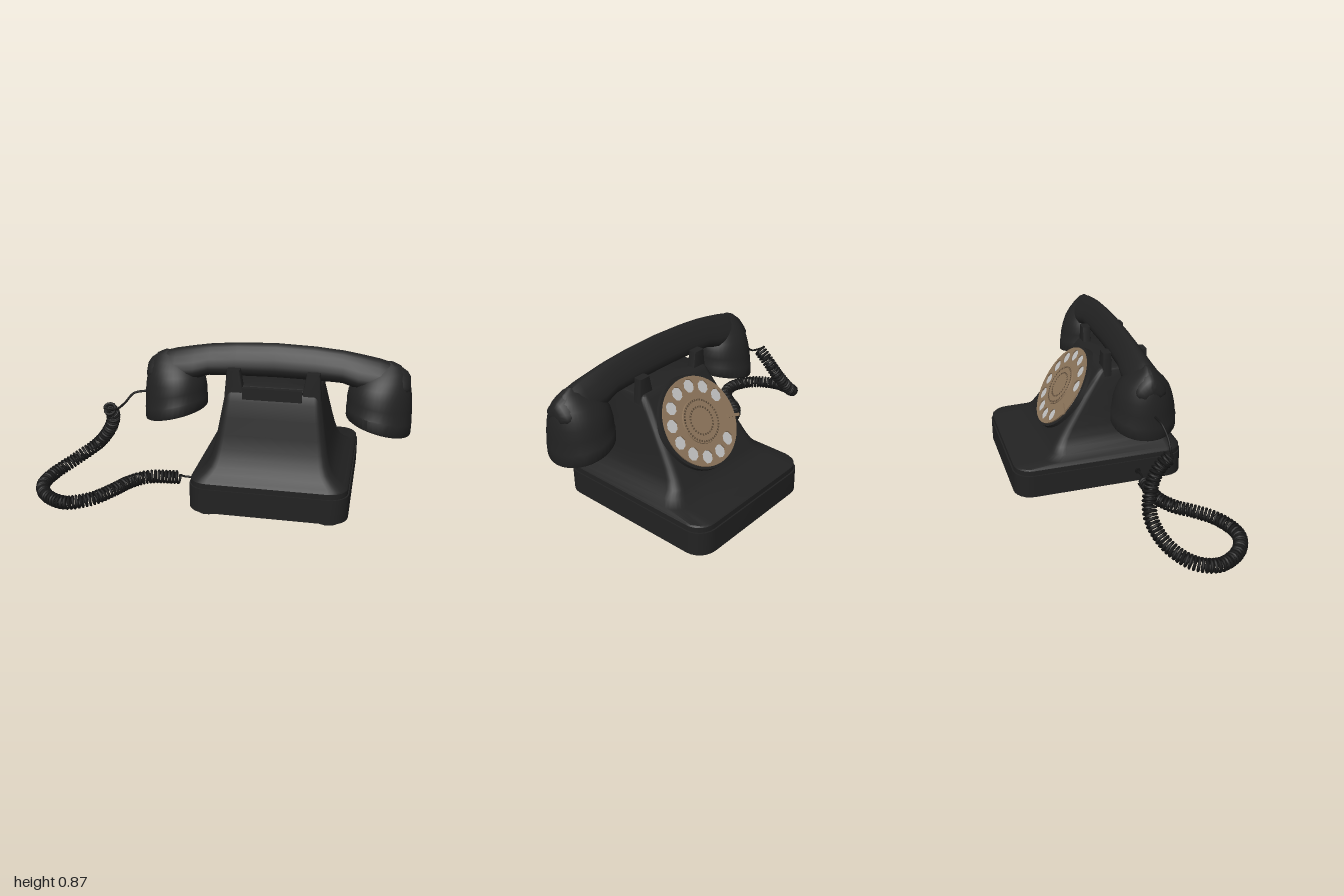
import * as THREE from 'three';
import { toCreasedNormals } from 'three/addons/utils/BufferGeometryUtils.js';

const mat = (name, color) => {
  const m = new THREE.MeshStandardMaterial({ color });
  m.name = name;
  return m;
};

// Skin closed rings (counter-clockwise about the sweep direction) and cap both ends
function loft(rings, crease = 0.6) {
  const pos = [];
  const tri = (...ps) => ps.forEach(p => pos.push(p.x, p.y, p.z));
  const n = rings[0].length;
  for (let i = 0; i < rings.length - 1; i++) {
    for (let j = 0; j < n; j++) {
      const k = (j + 1) % n, a = rings[i], b = rings[i + 1];
      tri(a[j], a[k], b[k]);
      tri(a[j], b[k], b[j]);
    }
  }
  [rings[0], rings[rings.length - 1]].forEach((r, end) => {
    const c = r.reduce((s, p) => s.add(p), new THREE.Vector3()).divideScalar(n);
    r.forEach((p, j) => {
      const q = r[(j + 1) % n];
      if (end) tri(c, p, q); else tri(c, q, p);
    });
  });
  const g = new THREE.BufferGeometry();
  g.setAttribute('position', new THREE.Float32BufferAttribute(pos, 3));
  return toCreasedNormals(g, crease);
}

// Horizontal rounded rectangle
function rectRing(y, x0, x1, z0, z1, r, seg = 6) {
  const pts = [];
  for (let q = 0; q < 4; q++) {
    for (let k = 0; k <= seg; k++) {
      const t = (q + k / seg) * Math.PI / 2;
      const cx = q === 0 || q === 3 ? x1 - r : x0 + r;
      const cz = q < 2 ? z0 + r : z1 - r;
      pts.push(new THREE.Vector3(cx + r * Math.cos(t), y, cz - r * Math.sin(t)));
    }
  }
  return pts;
}

export function createModel() {
  const black = mat('black bakelite', 0x222222);
  const cordBlack = mat('cord black', 0x161616);
  const brass = mat('brass brown', 0x8c745a);
  const darkBrass = mat('dark brass', 0x5a4a39);
  const silver = mat('number plate grey', 0xc0c0c0);

  const model = new THREE.Group();
  const phone = new THREE.Group();
  phone.name = 'telephone';
  phone.position.x = 0.305;
  model.add(phone);
  const add = (parent, name, geo, material) => {
    const m = new THREE.Mesh(geo, material);
    m.name = name;
    parent.add(m);
    return m;
  };

  // Base tray and feet
  add(phone, 'base', loft([
    rectRing(0.04, -0.41, 0.41, -0.525, 0.44, 0.1),
    rectRing(0.17, -0.41, 0.41, -0.525, 0.44, 0.1),
  ]), black);
  for (const x of [-0.31, 0.31]) for (const z of [-0.42, 0.355]) {
    add(phone, 'foot', new THREE.CylinderGeometry(0.058, 0.058, 0.025, 24), black).position.set(x, 0.032, z);
  }

  // Housing: height, half width, front z, back z, corner radius
  add(phone, 'housing', loft([
    [0.165, 0.403, -0.517, 0.433, 0.095],
    [0.198, 0.403, -0.517, 0.433, 0.095],
    [0.205, 0.398, -0.507, 0.428, 0.09],
    [0.215, 0.385, -0.35, 0.418, 0.08],
    [0.24, 0.352, -0.305, 0.398, 0.07],
    [0.27, 0.322, -0.284, 0.378, 0.06],
    [0.31, 0.303, -0.256, 0.357, 0.052],
    [0.36, 0.29, -0.221, 0.336, 0.047],
    [0.43, 0.277, -0.172, 0.318, 0.043],
    [0.52, 0.262, -0.11, 0.3, 0.04],
    [0.6, 0.249, -0.054, 0.28, 0.036],
    [0.65, 0.24, -0.019, 0.262, 0.032],
    [0.665, 0.235, -0.006, 0.25, 0.026],
    [0.672, 0.222, 0.008, 0.237, 0.018],
  ].map(([y, hx, z0, z1, r]) => rectRing(y, -hx, hx, z0, z1, r))), black);

  // Cradle prongs and the carrying lip behind them
  for (const s of [-1, 1]) for (const [z0, z1] of [[0.015, 0.06], [0.212, 0.262]]) {
    const prong = (y, inner, outer, g) =>
      rectRing(y, Math.min(s * inner, s * outer), Math.max(s * inner, s * outer), z0 - g, z1 + g, 0.008, 2);
    add(phone, 'cradleProng', loft([
      prong(0.62, 0.145, 0.245, 0.004), prong(0.68, 0.155, 0.24, 0.002), prong(0.755, 0.168, 0.234, 0),
    ]), black);
  }
  add(phone, 'carryingLip', new THREE.BoxGeometry(0.3, 0.06, 0.03), black).position.set(0, 0.64, 0.262);

  // Handset grip: a teardrop section swept along x
  const handset = new THREE.Group();
  handset.name = 'handset';
  handset.position.z = 0.14;
  phone.add(handset);
  const half = [[0, 1], [0.16, 0.98], [0.34, 0.9], [0.55, 0.76], [0.8, 0.56],
    [0.97, 0.36], [1, 0.24], [0.9, 0.1], [0.62, 0.01], [0, 0]];
  const section = [...half, ...half.slice(1, -1).reverse().map(([w, v]) => [-w, v])];
  // distance from the middle, underside, top, half depth
  const stations = [[0.672, 0.67, 0.74, 0.045], [0.655, 0.665, 0.765, 0.075], [0.61, 0.665, 0.797, 0.09],
    [0.52, 0.67, 0.823, 0.095], [0.42, 0.675, 0.842, 0.09], [0.34, 0.7, 0.855, 0.08],
    [0.2, 0.705, 0.868, 0.076], [0, 0.708, 0.875, 0.075]];
  const sweep = [...stations.map(([x, ...r]) => [-x, ...r]), ...stations.slice(0, -1).reverse()];
  add(handset, 'grip', loft(sweep.map(([x, y0, y1, w]) =>
    section.map(([a, v]) => new THREE.Vector3(x, y0 + v * (y1 - y0), a * w))), 1), black);

  // Ear and mouth cups: height, outer x, inner x, half depth, tilt of the ring
  const cup = [[0.482, 0.688, 0.365, 0.166, 0.235], [0.488, 0.69, 0.362, 0.17, 0.23],
    [0.54, 0.691, 0.362, 0.17, 0.2], [0.545, 0.69, 0.364, 0.167, 0.2], [0.6, 0.689, 0.364, 0.16, 0.14],
    [0.65, 0.684, 0.37, 0.147, 0.08], [0.69, 0.677, 0.385, 0.131, 0.05], [0.725, 0.665, 0.405, 0.106, 0],
    [0.755, 0.648, 0.425, 0.077, -0.05], [0.785, 0.62, 0.45, 0.045, -0.1], [0.805, 0.58, 0.48, 0.015, -0.15]];
  for (const s of [-1, 1]) {
    add(handset, s < 0 ? 'mouthCup' : 'earCup', loft(cup.map(([y, o, i, rz, tilt]) => {
      const ring = [];
      for (let k = 0; k < 40; k++) {
        const t = k / 40 * Math.PI * 2, dx = (o - i) / 2 * Math.cos(t);
        ring.push(new THREE.Vector3(s * (o + i) / 2 + dx, y - s * tilt * dx, -rz * Math.sin(t)));
      }
      return ring;
    })), black);
  }

  // Rotary dial lying on the sloped face
  const dial = new THREE.Group();
  dial.name = 'dial';
  dial.quaternion.setFromRotationMatrix(new THREE.Matrix4().makeBasis(
    new THREE.Vector3(-1, 0, 0), new THREE.Vector3(0, 0.82, 0.572), new THREE.Vector3(0, 0.572, -0.82)));
  dial.position.set(0, 0.475, -0.141);
  phone.add(dial);
  const disc = (name, r0, r1, z0, z1, m) => {
    const g = new THREE.CylinderGeometry(r1, r0, z1 - z0, 64).rotateX(Math.PI / 2);
    add(dial, name, g, m).position.z = (z0 + z1) / 2;
  };
  disc('dialMount', 0.256, 0.248, -0.03, 0.018, black);
  disc('numberPlate', 0.225, 0.225, 0.016, 0.022, silver);

  const wheel = new THREE.Shape().absarc(0, 0, 0.236, 0, Math.PI * 2);
  for (let i = 0; i < 11; i++) {
    const a = THREE.MathUtils.degToRad(-127 + i * 28.3), cx = -0.186 * Math.cos(a), cy = 0.186 * Math.sin(a);
    const pts = [];
    for (let k = 0; k < 8; k++) {
      const t = -k / 8 * Math.PI * 2;
      pts.push(new THREE.Vector2(cx + 0.036 * Math.cos(t), cy + 0.036 * Math.sin(t)));
    }
    wheel.holes.push(new THREE.Path(pts));
  }
  add(dial, 'fingerWheel', new THREE.ExtrudeGeometry(wheel, { depth: 0.008, bevelEnabled: false, curveSegments: 48 }), brass)
    .position.z = 0.024;
  disc('dialCentre', 0.12, 0.118, 0.03, 0.038, brass);

  // Engraved dashes around the dial centre
  for (const [r, count] of [[0.108, 44], [0.072, 28]]) {
    for (let i = 0; i < count; i++) {
      const a = i / count * Math.PI * 2;
      const dash = add(dial, 'dialDash', new THREE.BoxGeometry(0.01, 0.008, 0.002), darkBrass);
      dash.position.set(r * Math.cos(a), r * Math.sin(a), 0.0385);
      dash.rotation.z = a;
    }
  }
  const stop = add(dial, 'fingerStop', new THREE.BoxGeometry(0.085, 0.016, 0.008), brass);
  stop.position.set(0.21, -0.06, 0.038);
  stop.rotation.z = -0.28;

  // Coiled cord
  const V = (x, y, z) => new THREE.Vector3(x, y, z);
  const path = new THREE.CatmullRomCurve3([
    V(-0.595, 0.465, 0.15), V(-0.597, 0.41, 0.09), V(-0.63, 0.32, 0.04), V(-0.71, 0.21, 0.015),
    V(-0.83, 0.12, 0.06), V(-0.925, 0.065, 0.16), V(-0.95, 0.045, 0.28), V(-0.88, 0.042, 0.41),
    V(-0.75, 0.042, 0.475), V(-0.62, 0.055, 0.43), V(-0.53, 0.07, 0.33), V(-0.47, 0.08, 0.24),
    V(-0.38, 0.09, 0.175), V(-0.21, 0.097, 0.16)]);
  const turns = 88, steps = turns * 12, coilPts = [];
  for (let i = 0; i <= steps; i++) {
    const u = i / steps, t = path.getTangentAt(u), a = u * turns * Math.PI * 2;
    const side = V(0, 1, 0).cross(t).normalize(), up = t.clone().cross(side);
    coilPts.push(path.getPointAt(u).addScaledVector(side, 0.031 * Math.cos(a)).addScaledVector(up, 0.031 * Math.sin(a)));
  }
  const coil = new THREE.CatmullRomCurve3(coilPts);
  coil.arcLengthDivisions = steps * 2;
  add(model, 'coiledCord', new THREE.TubeGeometry(coil, steps, 0.0075, 6), cordBlack);

  // Straight ends of the cord and the socket in the base
  const wire = (name, pts) =>
    add(model, name, new THREE.TubeGeometry(new THREE.CatmullRomCurve3(pts), 24, 0.006, 8), cordBlack);
  wire('handsetWire', [coilPts[0], V(-0.55, 0.47, 0.17), V(-0.5, 0.51, 0.175), V(-0.45, 0.565, 0.16), V(-0.37, 0.58, 0.145)]);
  wire('baseWire', [coilPts[steps], V(-0.18, 0.105, 0.16), V(-0.09, 0.105, 0.16)]);
  add(model, 'cordSocket', new THREE.CylinderGeometry(0.016, 0.016, 0.02, 16).rotateZ(Math.PI / 2), cordBlack)
    .position.set(-0.105, 0.105, 0.16);

  return model;
}
